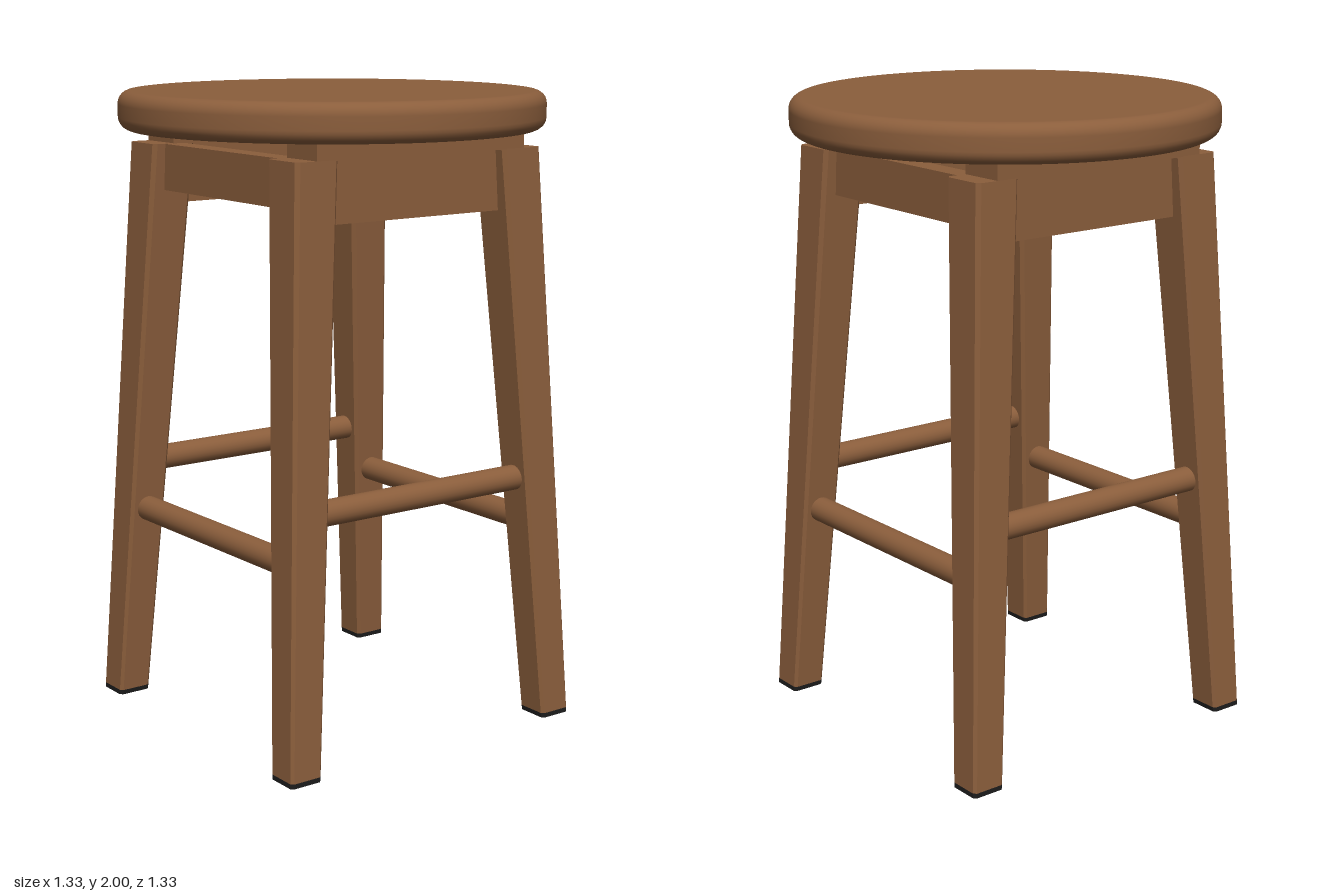
import * as THREE from 'three';

const wood = new THREE.MeshStandardMaterial({ color: 0x8b5e3c });
wood.name = 'brown wood';
const rubber = new THREE.MeshStandardMaterial({ color: 0x1c1c1c });
rubber.name = 'black rubber';

const LEG_TOP = 1.83;
const FOOT_TOP = 0.015;
const lerp = THREE.MathUtils.lerp;

// Splayed, tapered length of leg between two heights, with chamfered edges
function legGeometry(sx, sz, y0, y1) {
  const h = 0.5, c = 0.42;
  const section = new THREE.Shape([
    [h, -c], [h, c], [c, h], [-c, h], [-h, c], [-h, -c], [-c, -h], [c, -h],
  ].map(([x, y]) => new THREE.Vector2(x, y)));
  const geometry = new THREE.ExtrudeGeometry(section, { depth: y1 - y0, bevelEnabled: false });
  geometry.rotateX(-Math.PI / 2).translate(0, y0, 0);
  const p = geometry.attributes.position;
  for (let i = 0; i < p.count; i++) {
    const t = p.getY(i) / LEG_TOP;
    const centre = lerp(0.495, 0.385, t);
    const width = lerp(0.11, 0.15, t);
    p.setX(i, sx * centre + p.getX(i) * width);
    p.setZ(i, sz * centre + p.getZ(i) * width);
  }
  geometry.computeVertexNormals();
  return geometry;
}

export function createModel() {
  const stool = new THREE.Group();
  stool.name = 'stool';
  const add = (name, geometry, material = wood) => {
    const mesh = new THREE.Mesh(geometry, material);
    mesh.name = name;
    stool.add(mesh);
    return mesh;
  };

  // Round seat with softened rims
  const R = 0.665, r = 0.04;
  const profile = [new THREE.Vector2(0, 1.88), new THREE.Vector2(0.3, 1.88)];
  for (let i = 0; i <= 6; i++) {
    const a = -Math.PI / 2 + (i / 6) * Math.PI / 2;
    profile.push(new THREE.Vector2(R - r + r * Math.cos(a), 1.88 + r + r * Math.sin(a)));
  }
  for (let i = 0; i <= 6; i++) {
    const a = (i / 6) * Math.PI / 2;
    profile.push(new THREE.Vector2(R - r + r * Math.cos(a), 2 - r + r * Math.sin(a)));
  }
  profile.push(new THREE.Vector2(0.3, 2), new THREE.Vector2(0, 2));
  add('seat', new THREE.LatheGeometry(profile, 72));

  // Legs and foot pads
  for (const sx of [-1, 1]) {
    for (const sz of [-1, 1]) {
      const side = (sz > 0 ? 'front' : 'back') + (sx > 0 ? 'Left' : 'Right');
      add(side + 'Leg', legGeometry(sx, sz, FOOT_TOP, LEG_TOP));
      add(side + 'FootPad', legGeometry(sx, sz, 0, FOOT_TOP), rubber);
    }
  }

  for (const s of [-1, 1]) {
    const end = s > 0 ? 'front' : 'back';
    const side = s > 0 ? 'left' : 'right';

    // Cleats under the seat
    add(side + 'Cleat', new THREE.BoxGeometry(0.15, 0.054, 0.78)).position.set(s * 0.385, 1.855, 0);

    // Rails between the leg tops; the side rails are deeper
    add(end + 'Rail', new THREE.BoxGeometry(0.72, 0.145, 0.07)).position.set(0, 1.757, s * 0.385);
    add(side + 'Rail', new THREE.BoxGeometry(0.07, 0.19, 0.72)).position.set(s * 0.385, 1.734, 0);

    // Round rungs, side pair set higher
    const endRung = add(end + 'Rung', new THREE.CylinderGeometry(0.04, 0.04, 0.9, 24));
    endRung.rotation.z = Math.PI / 2;
    endRung.position.set(0, 0.64, s * 0.457);
    const sideRung = add(side + 'Rung', new THREE.CylinderGeometry(0.04, 0.04, 0.9, 24));
    sideRung.rotation.x = Math.PI / 2;
    sideRung.position.set(s * 0.448, 0.79, 0);
  }
  return stool;
}
